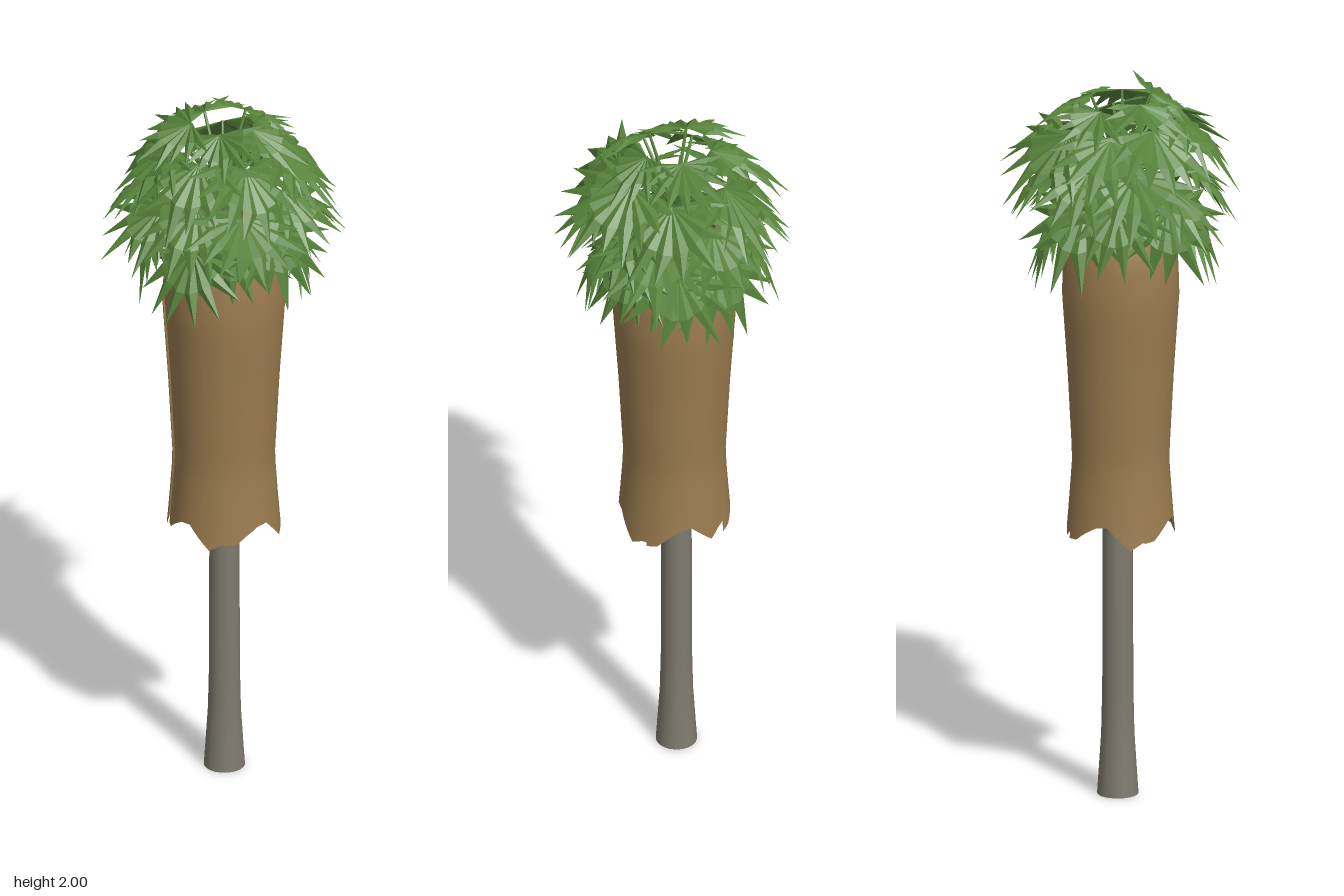
import * as THREE from 'three';

const bark = new THREE.MeshStandardMaterial({ name: 'greyBark', color: 0x7f7b6e });
const heart = new THREE.MeshStandardMaterial({ name: 'darkCrownHeart', color: 0x6b5f60 });
const thatch = new THREE.MeshStandardMaterial({ name: 'dryThatch', color: 0x9c7c50, side: THREE.DoubleSide });
const green = new THREE.MeshStandardMaterial({ name: 'leafGreen', color: 0x57833a, side: THREE.DoubleSide, flatShading: true });

let seed = 7;
const rand = () => (seed = (seed * 16807) % 2147483647) / 2147483647;
const jitter = (a) => (rand() * 2 - 1) * a;

function add(parent, name, geometry, material) {
  const mesh = new THREE.Mesh(geometry, material);
  mesh.name = name;
  parent.add(mesh);
  return mesh;
}

// Radius of the thatch skirt at each height
const SKIRT = [[0.7, 0.156], [0.82, 0.146], [0.95, 0.137], [1.2, 0.15], [1.42, 0.165], [1.54, 0.16], [1.63, 0.137], [1.72, 0.098]];
function skirtRadius(y) {
  for (let i = 1; i < SKIRT.length; i++) {
    const [y0, r0] = SKIRT[i - 1], [y1, r1] = SKIRT[i];
    if (y <= y1) return THREE.MathUtils.lerp(r0, r1, (y - y0) / (y1 - y0));
  }
  return 0.098;
}

// Curved thatch panel with an arched top and a ragged hem
function panelGeometry(angle, offset) {
  const cols = 16, g = new THREE.PlaneGeometry(2, 1, cols, 20), p = g.attributes.position;
  const hem = [0.735, 0.74, 0.765, 0.785, 0.79, 0.76, 0.73, 0.75, 0.755];
  const shift = jitter(0.012);
  for (let i = 0; i < p.count; i++) {
    const u = p.getX(i), v = p.getY(i) + 0.5;
    const k = Math.min((u + 1) * 4, 7.999), n = Math.floor(k);
    const bottom = THREE.MathUtils.lerp(hem[n], hem[n + 1], k - n) + shift * u;
    const y = THREE.MathUtils.lerp(bottom, 1.7 - 0.11 * u * u, v);
    const r = skirtRadius(y) + offset, a = angle + u * 0.86;
    p.setXYZ(i, Math.sin(a) * r, y, Math.cos(a) * r);
  }
  g.computeVertexNormals();
  return g;
}

// Fan of broad pointed blades, spreading along +z from its hub and drooping at the tips
function fanGeometry(length, blades, spread) {
  const pos = [];
  const point = (a, r, lift) => [Math.sin(a) * r, lift - r * r, Math.cos(a) * r];
  const step = (2 * spread) / blades;
  const reach = (a) => length * (1 - 0.3 * Math.abs(a / spread));
  for (let i = 0; i < blades; i++) {
    const a0 = -spread + i * step, mid = a0 + step / 2, a1 = a0 + step;
    const hub = [0, 0, 0];
    const left = point(a0, reach(a0) * 0.55, -0.005);
    const right = point(a1, reach(a1) * 0.55, -0.005);
    const ridge = point(mid, reach(mid) * 0.58, 0.006);
    const tip = point(mid + jitter(0.1), reach(mid) * (1 + jitter(0.14)), -0.004 + jitter(0.012));
    pos.push(...hub, ...left, ...ridge, ...hub, ...ridge, ...right);
    pos.push(...left, ...tip, ...ridge, ...ridge, ...tip, ...right);
  }
  const g = new THREE.BufferGeometry();
  g.setAttribute('position', new THREE.Float32BufferAttribute(pos, 3));
  g.computeVertexNormals();
  return g;
}

// Straight tapered stalk between two points
function stalkGeometry(from, to) {
  const d = to.clone().sub(from);
  const g = new THREE.CylinderGeometry(0.004, 0.007, d.length(), 5, 1);
  g.applyQuaternion(new THREE.Quaternion().setFromUnitVectors(new THREE.Vector3(0, 1, 0), d.normalize()));
  const m = from.clone().add(to).multiplyScalar(0.5);
  return g.translate(m.x, m.y, m.z);
}

function addLeaf(crown, angle, radius, height, pitch, length) {
  const leaf = new THREE.Group();
  leaf.name = 'fanLeaf';
  const hub = new THREE.Vector3(Math.sin(angle) * radius, height, Math.cos(angle) * radius);
  add(leaf, 'leafStalk', stalkGeometry(new THREE.Vector3(0, 1.73, 0), hub), green);
  const fan = add(leaf, 'leafFan', fanGeometry(length, 10, 1.85), green);
  fan.position.copy(hub);
  fan.rotation.set(pitch, angle, jitter(0.3), 'YXZ');
  crown.add(leaf);
}

export function createModel() {
  const model = new THREE.Group();
  model.name = 'fanPalm';

  // Trunk with a flared foot
  const profile = [[0.056, 0], [0.052, 0.06], [0.045, 0.17], [0.042, 0.3], [0.041, 0.8], [0.04, 1.62]]
    .map(([x, y]) => new THREE.Vector2(x, y));
  add(model, 'trunk', new THREE.LatheGeometry(profile, 20), bark).position.set(0.012, 0, -0.004);
  const foot = add(model, 'trunkFoot', new THREE.CircleGeometry(0.056, 20).rotateX(Math.PI / 2), bark);
  foot.position.set(0.012, 0, -0.004);
  const shaft = add(model, 'crownHeart', new THREE.CylinderGeometry(0.03, 0.04, 0.12, 12), heart);
  shaft.position.set(0.02, 1.68, -0.02);

  // Skirt of dry leaves, four overlapping panels
  const skirt = new THREE.Group();
  skirt.name = 'thatchSkirt';
  for (let i = 0; i < 4; i++) {
    add(skirt, 'thatchPanel', panelGeometry(i * Math.PI / 2 + 0.05, i % 2 ? -0.006 : 0.001), thatch);
  }
  skirt.position.x = 0.005;
  model.add(skirt);

  // Crown: rings of leaves from top to bottom [count, hub radius, hub height, pitch, length, turn]
  const crown = new THREE.Group();
  crown.name = 'crown';
  const rings = [
    [5, 0.09, 1.945, 0.33, 0.165, 1.5],
    [7, 0.155, 1.855, 0.52, 0.225, 0.45],
    [8, 0.175, 1.735, 0.62, 0.215, 0.39],
    [9, 0.17, 1.645, 0.95, 0.215, 0],
  ];
  for (const [count, radius, height, pitch, length, turn] of rings) {
    for (let i = 0; i < count; i++) {
      const angle = turn + (i / count) * Math.PI * 2 + jitter(0.14);
      addLeaf(crown, angle, radius + jitter(0.015), height + jitter(0.03), pitch + jitter(0.15), length * (1 + jitter(0.07)));
    }
  }

  // Young unopened spears at the heart of the crown
  for (let i = 0; i < 9; i++) {
    const a = i * 0.7, r = 0.05 + 0.03 * rand();
    const tip = new THREE.Vector3(Math.sin(a) * r, 1.8 + 0.05 * rand(), Math.cos(a) * r);
    add(crown, 'youngSpear', stalkGeometry(new THREE.Vector3(0, 1.73, 0), tip), green);
  }
  crown.updateMatrixWorld(true);
  crown.position.y = 2 - new THREE.Box3().setFromObject(crown, true).max.y;
  model.add(crown);
  return model;
}
